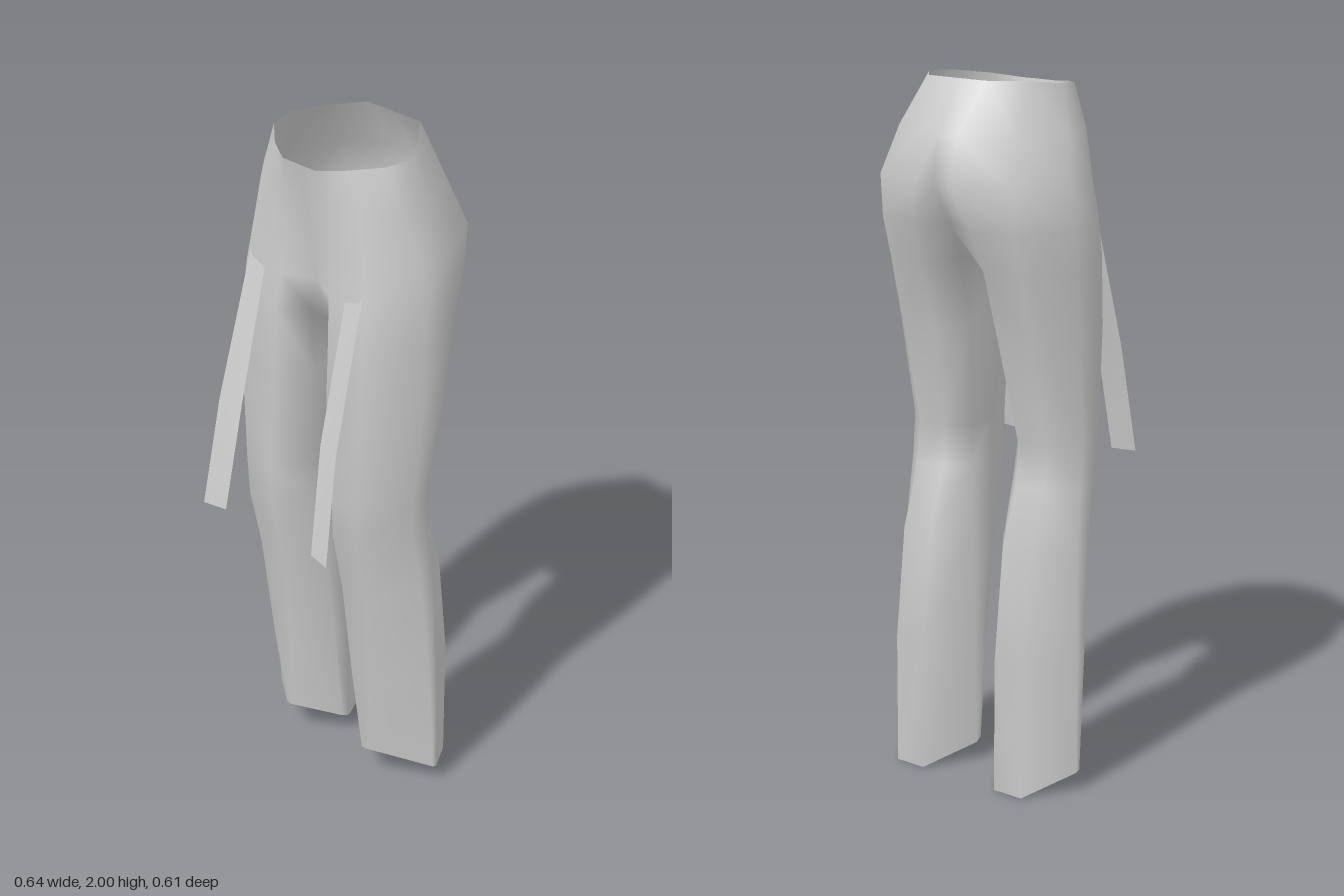
import * as THREE from 'three';
import { mergeVertices } from 'three/addons/utils/BufferGeometryUtils.js';

// Each half ring runs front -> outer side -> back as [x, z] pairs (or [x, y, z])
const ring = (y, ...pts) => pts.map((p) => (p.length === 3 ? p : [p[0], y, p[1]]));

const pelvis = [
  ring(0, [0, 1.96, 0.155], [0.06, 1.96, 0.155], [0.13, 1.97, 0.115], [0.205, 1.98, 0.045],
    [0.225, 1.985, -0.03], [0.17, 1.995, -0.11], [0.095, 2, -0.2], [0, 2, -0.2]),
  ring(1.86, [0, 0.135], [0.07, 0.14], [0.18, 0.12], [0.25, 0.04], [0.265, -0.06], [0.2, -0.2], [0.065, -0.28], [0, -0.28]),
  ring(1.73, [0, 0.115], [0.08, 0.125], [0.205, 0.125], [0.297, 0.005], [0.302, -0.105], [0.225, -0.253], [0.06, -0.308], [0, -0.3]),
  ring(1.61, [0, 0.095], [0.09, 0.14], [0.22, 0.14], [0.318, 0.005], [0.318, -0.1], [0.225, -0.245], [0.1, -0.27], [0, -0.23]),
];

// Leg rings start at the crotch and end at the sloped hem
const leg = [
  ring(1.5, [0.04, 0.08], [0.1, 0.152], [0.225, 0.152], [0.318, 0.005], [0.318, -0.09], [0.225, -0.215], [0.11, -0.23], [0.04, -0.14]),
  ring(1.3, [0.04, 0.06], [0.1, 0.16], [0.225, 0.16], [0.317, 0.01], [0.315, -0.07], [0.22, -0.165], [0.11, -0.168], [0.045, -0.09]),
  ring(1.0, [0.083, 0.05], [0.12, 0.16], [0.215, 0.16], [0.3, 0.03], [0.298, -0.03], [0.225, -0.095], [0.13, -0.102], [0.083, -0.04]),
  ring(0.88, [0.074, 0.04], [0.12, 0.157], [0.21, 0.157], [0.298, 0.02], [0.298, -0.04], [0.225, -0.108], [0.13, -0.112], [0.074, -0.05]),
  ring(0.7, [0.054, 0.01], [0.12, 0.12], [0.205, 0.12], [0.306, -0.01], [0.306, -0.06], [0.225, -0.17], [0.13, -0.17], [0.054, -0.07]),
  ring(0.38, [0.048, -0.02], [0.125, 0.084], [0.195, 0.084], [0.316, -0.04], [0.316, -0.07], [0.225, -0.208], [0.13, -0.208], [0.048, -0.07]),
  ring(0, [0.045, 0.065, -0.05], [0.148, 0.115, 0.065], [0.165, 0.115, 0.065], [0.318, 0.062, -0.06],
    [0.318, 0.056, -0.075], [0.225, 0, -0.21], [0.13, 0, -0.21], [0.04, 0.056, -0.075]),
];

function surface(tris) {
  const g = new THREE.BufferGeometry();
  g.setAttribute('position', new THREE.Float32BufferAttribute(tris.flat(2), 3));
  const merged = mergeVertices(g, 1e-4);
  merged.computeVertexNormals();
  return merged;
}

function loft(rings, closed) {
  const tris = [];
  for (let r = 0; r < rings.length - 1; r++) {
    const a = rings[r], b = rings[r + 1], n = a.length;
    for (let i = 0; i < (closed ? n : n - 1); i++) {
      const j = (i + 1) % n;
      tris.push([b[i], b[j], a[j]], [b[i], a[j], a[i]]);
    }
  }
  return tris;
}

const flip = ([x, y, z]) => [-x, y, z];
const mirror = (tris) => tris.map(([a, b, c]) => [flip(a), flip(c), flip(b)]);

export function createModel() {
  const model = new THREE.Group();
  const cloth = new THREE.MeshStandardMaterial({ color: 0xcccccc, side: THREE.DoubleSide });
  cloth.name = 'plain grey cloth';
  const add = (name, tris) => {
    const mesh = new THREE.Mesh(surface(tris), cloth);
    mesh.name = name;
    model.add(mesh);
  };

  // Trousers: hips flow into both legs as one smooth skin
  const half = [...loft([...pelvis, leg[0]], false), ...loft(leg, true)];
  const f = leg[0][0], b = leg[0][7];
  const low = pelvis[pelvis.length - 1];
  const crotch = [
    [flip(f), f, low[0]],
    [b, flip(b), low[7]],
    [flip(f), flip(b), b], [flip(f), b, f],
  ];
  add('trousers', [...half, ...mirror(half), ...crotch]);

  // Two loose straps hanging from the front of the hips
  const strap = loft([
    [[0.15, 1.7, 0.118], [0.207, 1.7, 0.12]],
    [[0.152, 1.22, 0.235], [0.225, 1.22, 0.25]],
    [[0.168, 0.9, 0.29], [0.241, 0.9, 0.306]],
  ], false);
  add('leftStrap', strap);
  add('rightStrap', mirror(strap));
  return model;
}
